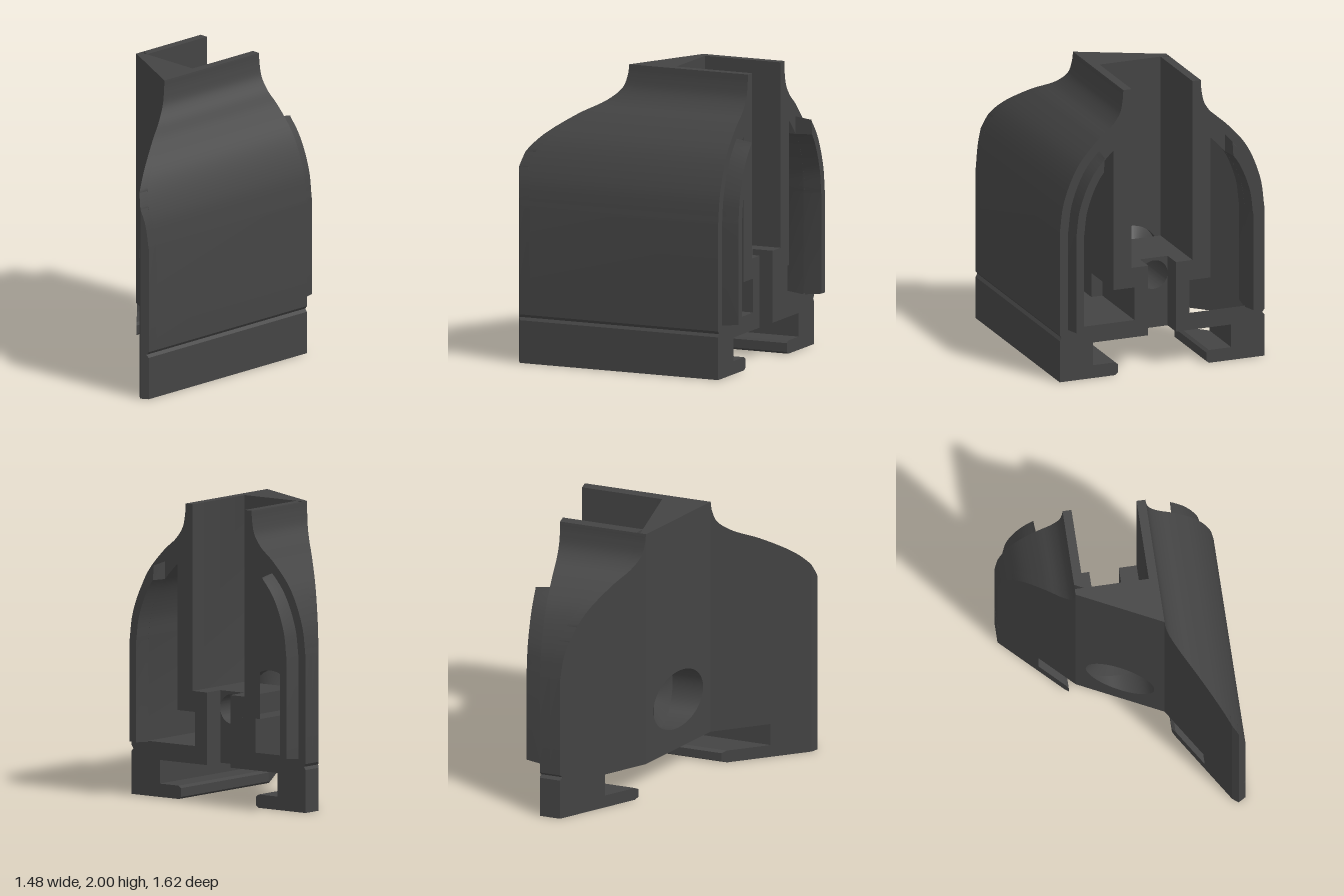
import * as THREE from 'three';
import { toCreasedNormals } from 'three/addons/utils/BufferGeometryUtils.js';

const BACK = -0.69, SKIN = 0.07, BASE = 0.25;

// Depth of the slanted front face at a given x
const FRONT = [[-0.74, -0.55], [-0.28, -0.09], [0.28, 0.19], [0.65, 0.78], [0.69, 0.81], [0.74, 0.78]];
function frontZ(x) {
  for (let i = 1; i < FRONT.length; i++) {
    const [x0, z0] = FRONT[i - 1], [x1, z1] = FRONT[i];
    if (x <= x1 + 1e-6) return z0 + (z1 - z0) * (x - x0) / (x1 - x0);
  }
  return 0.78;
}

// Shoulder curve from the straight side up to the neck
const shoulder = new THREE.CatmullRomCurve3(
  [[0.74, 1.05], [0.71, 1.26], [0.61, 1.5], [0.465, 1.67], [0.36, 1.76], [0.305, 1.84], [0.285, 1.93], [0.28, 2]]
    .map(([x, y]) => new THREE.Vector3(x, y, 0))
).getPoints(48).map(p => [Math.min(0.74, Math.max(0.28, p.x)), Math.min(2, p.y)]);

// Shoulder curve moved inward by d
function inset(d) {
  return shoulder.map(([x, y], i) => {
    const a = shoulder[Math.max(0, i - 1)], b = shoulder[Math.min(shoulder.length - 1, i + 1)];
    const dx = b[0] - a[0], dy = b[1] - a[1], l = Math.hypot(dx, dy);
    return i === 0 ? [x - d, y] : [x - d * dy / l, y + d * dx / l];
  });
}

const toPath = (pts, Type) => new Type(pts.map(([x, y]) => new THREE.Vector2(x, y)));

export function createModel() {
  const model = new THREE.Group();
  const material = new THREE.MeshStandardMaterial({ color: 0x444444 });

  function add(parent, name, geometry, mat = material) {
    const mesh = new THREE.Mesh(geometry, mat);
    mesh.name = name;
    parent.add(mesh);
    return mesh;
  }

  // Prism whose back and front depth are functions of x
  function prism(parent, name, pts, back, front, holes = []) {
    const shape = toPath(pts, THREE.Shape);
    shape.holes = holes;
    const geo = new THREE.ExtrudeGeometry(shape, { depth: 1, bevelEnabled: false, curveSegments: 40 });
    const p = geo.attributes.position;
    for (let i = 0; i < p.count; i++) {
      const x = p.getX(i);
      p.setZ(i, p.getZ(i) < 0.5 ? back(x) : front(x));
    }
    return add(parent, name, toCreasedNormals(geo, 0.5));
  }
  const rect = (x0, x1, y0, y1) => [[x0, y0], [x1, y0], [x1, y1], [x0, y1]];
  const circle = (y, r) => new THREE.Path().absarc(0, y, r, 0, Math.PI * 2, true);
  const back = () => BACK;

  // Centre: solid wedge with the countersunk screw hole, and the block behind it
  const center = new THREE.Group();
  center.name = 'centre';
  model.add(center);
  prism(center, 'centreFront', rect(-0.28, 0.28, BASE, 2), () => -0.13, frontZ, [circle(0.62, 0.215)]);
  prism(center, 'screwBlock', rect(-0.2, 0.2, BASE, 0.74), () => -0.545, () => -0.13, [circle(0.62, 0.1)]);
  const cone = add(center, 'countersink',
    new THREE.LatheGeometry([new THREE.Vector2(0.1, -0.13), new THREE.Vector2(0.217, -0.055)], 48),
    new THREE.MeshStandardMaterial({ color: 0x444444, side: THREE.DoubleSide }));
  cone.rotation.x = Math.PI / 2;
  cone.position.y = 0.62;

  const groove = [[0.74, 0.29], [0.725, 0.31], [0.74, 0.33]];
  const steps = [0.28, 0.65, 0.69, 0.74];

  for (const s of [1, -1]) {
    const side = new THREE.Group();
    side.name = s > 0 ? 'leftSide' : 'rightSide';
    model.add(side);
    const flip = pts => pts.map(([x, y]) => [x * s, y]);

    // Hollow side frame: outer wall, channel wall and bottom shelf
    const inner = inset(0.14).filter(([x, y]) => x > 0.36 && y < 1.75);
    const cavity = [[0.2, 0.37], [0.28, 0.37], [0.6, 0.37], ...inner,
      [0.35, inner[inner.length - 1][1] + 0.01], [0.35, 0.6], [0.2, 0.6]];
    const frame = [[0.1, BASE], [0.22, BASE], [0.28, BASE], [0.65, BASE], [0.69, BASE], [0.74, BASE],
      ...groove, ...shoulder, [0.22, 2], [0.22, 0.74], [0.1, 0.74]];
    prism(side, 'sideFrame', flip(frame), back,
      x => Math.abs(x) < 0.27 ? -0.13 : frontZ(x) - SKIN, [toPath(flip(cavity), THREE.Path)]);

    // Front skin and foot, in strips that follow the bends of the front
    for (let i = 0; i < 3; i++) {
      const a = steps[i], b = steps[i + 1];
      const heightAt = x => {
        const k = shoulder.findIndex(p => p[0] <= x + 1e-6);
        if (k <= 0) return shoulder[0][1];
        const [p, q] = [shoulder[k - 1], shoulder[k]];
        return p[1] + (q[1] - p[1]) * (p[0] - x) / Math.max(1e-6, p[0] - q[0]);
      };
      const top = shoulder.filter(([x]) => x > a + 0.001 && x < b - 0.001);
      const skin = [[a, BASE], [b, BASE], ...(i === 2 ? groove : []), [b, heightAt(b)], ...top,
        [a, i === 0 ? 2 : heightAt(a)]];
      prism(side, 'frontSkin', flip(skin), x => frontZ(x) - SKIN, frontZ);
      prism(side, 'footWall', flip(rect(Math.max(a, 0.5), b, 0, BASE)), back, frontZ);
    }
    const lip = [[0.34, 0], [0.5, 0], [0.5, 0.09], [0.34, 0.09], [0.32, 0.075], [0.32, 0.015]];
    prism(side, 'footLip', flip(lip), back, frontZ);

    // Curved locating rib, tapering towards the back
    const keep = ([x, y]) => x > 0.44 && y < 1.62;
    const rib = [[0.6, 0.36], [0.68, 0.36], ...inset(0.06).filter(keep), ...inset(0.14).filter(keep).reverse()];
    const ribGeo = new THREE.ExtrudeGeometry(toPath(flip(rib), THREE.Shape), {
      depth: 0.01, bevelThickness: 0.12, bevelSize: 0.012, bevelOffset: -0.012, bevelSegments: 1
    });
    ribGeo.translate(0, 0, -0.685);
    add(side, 'locatingRib', toCreasedNormals(ribGeo, 0.5));
  }
  return model;
}
